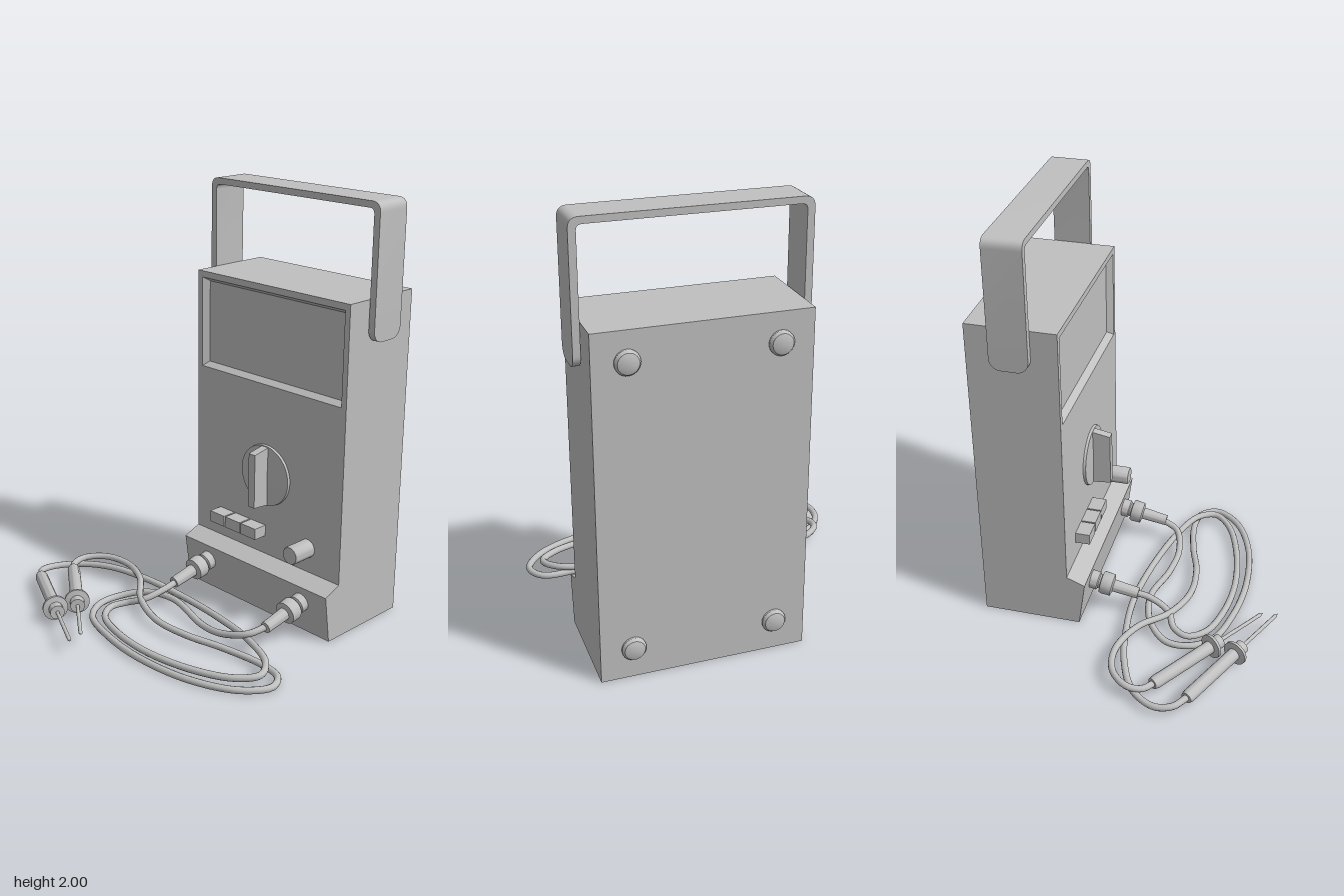
import * as THREE from 'three';
import { toCreasedNormals } from 'three/addons/utils/BufferGeometryUtils.js';

const grey = new THREE.MeshStandardMaterial({ color: 0xc0c0c0 });
grey.name = 'grey plastic';
const CX = 0.195; // centre line of the case

export function createModel() {
  const model = new THREE.Group();
  model.name = 'multimeter';

  const add = (name, geometry, x = 0, y = 0, z = 0) => {
    const mesh = new THREE.Mesh(geometry, grey);
    mesh.name = name;
    mesh.position.set(x, y, z);
    model.add(mesh);
    return mesh;
  };
  const box = (name, x0, x1, y0, y1, z0, z1) =>
    add(name, new THREE.BoxGeometry(x1 - x0, y1 - y0, z1 - z0), (x0 + x1) / 2, (y0 + y1) / 2, (z0 + z1) / 2);
  // Extrude a side profile, given as (-z, y), from x0 to x1
  const sideExtrude = (name, shape, x0, x1) => {
    const g = new THREE.ExtrudeGeometry(shape, { depth: x1 - x0, bevelEnabled: false, curveSegments: 8 });
    return add(name, toCreasedNormals(g.rotateY(Math.PI / 2), 0.6), x0);
  };
  const polygon = (pts) => new THREE.Shape(pts.map((p) => new THREE.Vector2(...p)));
  // Turned part: profile of (radius, distance) along dir from start
  const turned = (name, profile, start, dir, segments = 28) => {
    const g = new THREE.LatheGeometry(profile.map((p) => new THREE.Vector2(...p)), segments);
    const mesh = add(name, toCreasedNormals(g, 0.6), start.x, start.y, start.z);
    mesh.quaternion.setFromUnitVectors(new THREE.Vector3(0, 1, 0), dir.clone().normalize());
    return mesh;
  };
  const V = (x, y, z) => new THREE.Vector3(x, y, z);

  // Case: the middle is notched for the display, the sides are full
  const lower = [[0.278, 0.268], [0.19, 0.232], [0.222, 0], [0.7, 0], [0.7, 1.58], [0.278, 1.58]];
  const notch = [[0.278, 1.55], [0.31, 1.55], [0.31, 1.115], [0.278, 1.115]];
  sideExtrude('caseMiddle', polygon([...lower, ...notch]), -0.24, 0.63);
  sideExtrude('caseRightEdge', polygon(lower), -0.268, -0.24);
  sideExtrude('caseLeftEdge', polygon(lower), 0.63, 0.658);

  // Sloping bezel around the recessed display
  const ring = (i, z) => [[-0.24 + i, 1.115 + i, z], [0.63 - i, 1.115 + i, z], [0.63 - i, 1.55 - i, z], [-0.24 + i, 1.55 - i, z]];
  const outer = ring(0, -0.278), inner = ring(0.02, -0.309), walls = [];
  for (let k = 0; k < 4; k++) {
    const n = (k + 1) % 4;
    walls.push(...outer[k], ...outer[n], ...inner[n], ...outer[k], ...inner[n], ...inner[k]);
  }
  const bezel = new THREE.BufferGeometry();
  bezel.setAttribute('position', new THREE.Float32BufferAttribute(walls, 3));
  bezel.computeVertexNormals();
  add('displayBezel', bezel);

  // Carrying handle: rounded arch and two round-cornered arms
  const arch = new THREE.Shape();
  const archLine = (w, top, r, path, reverse) => {
    if (!reverse) {
      path.moveTo(-w, 1.5);
      path.lineTo(-w, top - r);
      path.quadraticCurveTo(-w, top, -w + r, top);
      path.lineTo(w - r, top);
      path.quadraticCurveTo(w, top, w, top - r);
      path.lineTo(w, 1.5);
    } else {
      path.lineTo(w, 1.5);
      path.lineTo(w, top - r);
      path.quadraticCurveTo(w, top, w - r, top);
      path.lineTo(-w + r, top);
      path.quadraticCurveTo(-w, top, -w, top - r);
      path.lineTo(-w, 1.5);
    }
  };
  archLine(0.5, 2, 0.045, arch, false);
  archLine(0.468, 1.97, 0.025, arch, true);
  const archGeo = new THREE.ExtrudeGeometry(arch, { depth: 0.18, bevelEnabled: false, curveSegments: 8 });
  add('handleArch', toCreasedNormals(archGeo, 0.6), CX, 0, -0.58);
  const arm = new THREE.Shape();
  arm.moveTo(0.4, 1.5);
  arm.lineTo(0.4, 1.445);
  arm.absarc(0.455, 1.445, 0.055, Math.PI, Math.PI * 1.5, false);
  arm.absarc(0.525, 1.445, 0.055, Math.PI * 1.5, Math.PI * 2, false);
  arm.lineTo(0.58, 1.5);
  sideExtrude('handleRightArm', arm, CX - 0.5, CX - 0.468);
  sideExtrude('handleLeftArm', arm, CX + 0.468, CX + 0.5);

  // Selector dial with tapered grip
  const forward = V(0, 0, 1);
  turned('dialDisc', [[0, 0], [0.15, 0], [0.148, 0.015], [0, 0.018]], V(CX, 0.674, -0.28), forward, 48);
  sideExtrude('dialGrip', polygon([[0.28, 0.527], [0.28, 0.821], [0.178, 0.802], [0.178, 0.537]]), CX - 0.02, CX + 0.02);

  // Push buttons and round knob
  for (let i = 0; i < 3; i++) {
    const x = -0.108 + i * 0.104;
    box('pushButton', x, x + 0.096, 0.36, 0.415, -0.29, -0.207);
  }
  turned('knob', [[0, 0], [0.044, 0], [0.044, 0.122], [0.04, 0.128], [0, 0.128]], V(0.463, 0.387, -0.284), forward);

  // Domed feet on the back
  for (const x of [CX - 0.32, CX + 0.317])
    for (const y of [0.143, 1.448])
      turned('backFoot', [[0.054, 0], [0.054, 0.01], [0.045, 0.023], [0.028, 0.029], [0, 0.03]], V(x, y, -0.699), V(0, 0, -1));

  // Plugs in the lower ledge
  const plugDir = V(0, -0.19, 1);
  const plug = [[0.045, -0.01], [0.045, 0.035], [0.036, 0.04], [0.036, 0.048], [0.052, 0.052], [0.056, 0.06],
    [0.054, 0.108], [0.03, 0.114], [0.027, 0.24], [0, 0.24]];
  for (const x of [-0.11, 0.5]) turned('plug', plug, V(x, 0.152, -0.2), plugDir);

  // Test probes: grip with finger guard, and a thin needle
  const probe = (a, b) => {
    const dir = b.clone().sub(a), len = dir.length();
    turned('probeGrip', [[0, 0], [0.027, 0], [0.031, 0.02], [0.031, 0.355], [0.06, 0.36], [0.06, 0.373],
      [0.034, 0.378], [0.034, 0.42], [0, 0.42]], a, dir);
    turned('probeNeedle', [[0.009, 0.41], [0.009, len - 0.02], [0, len]], a, dir, 12);
  };
  const probeA = V(-0.694, 0.057, 0.402), probeB = V(-0.645, 0.057, 0.235);
  probe(probeA, V(-0.055, 0.075, 0.716));
  probe(probeB, V(-0.068, 0.075, 0.646));

  // Looping leads, points as x, y, z
  const lead = (name, pts) => {
    const curve = new THREE.CatmullRomCurve3(pts.map((p) => V(...p)), false, 'centripetal');
    add(name, new THREE.TubeGeometry(curve, 200, 0.016, 10));
  };
  lead('rightLead', [
    [-0.11, 0.11, 0.01], [-0.11, 0.095, 0.09], [-0.15, 0.06, 0.195], [-0.225, 0.03, 0.24], [-0.258, 0.02, 0.31],
    [-0.205, 0.02, 0.393], [-0.06, 0.02, 0.447], [0.168, 0.02, 0.468], [0.437, 0.025, 0.427], [0.623, 0.035, 0.352],
    [0.693, 0.045, 0.269], [0.644, 0.055, 0.186], [0.478, 0.06, 0.112], [0.23, 0.04, 0.041], [-0.06, 0.03, 0.004],
    [-0.308, 0.045, 0.025], [-0.536, 0.05, 0.075], [-0.69, 0.04, 0.153], [-0.764, 0.04, 0.269], [-0.752, 0.05, 0.352],
    [-0.69, 0.057, 0.404]]);
  lead('leftLead', [
    [0.5, 0.11, 0.01], [0.458, 0.085, 0.104], [0.333, 0.05, 0.143], [0.188, 0.03, 0.128], [-0.06, 0.055, 0.085],
    [-0.226, 0.045, 0.124], [-0.317, 0.02, 0.219], [-0.32, 0.018, 0.331], [-0.246, 0.017, 0.435], [-0.06, 0.017, 0.497],
    [0.188, 0.017, 0.522], [0.478, 0.017, 0.484], [0.685, 0.017, 0.385], [0.762, 0.017, 0.269], [0.718, 0.017, 0.188],
    [0.603, 0.02, 0.17], [0.395, 0.03, 0.207], [0.209, 0.04, 0.261], [0.023, 0.045, 0.269], [-0.164, 0.06, 0.203],
    [-0.308, 0.075, 0.083], [-0.474, 0.07, 0.017], [-0.619, 0.07, 0.041], [-0.694, 0.065, 0.124], [-0.688, 0.058, 0.195],
    [-0.64, 0.057, 0.24]]);

  return model;
}
